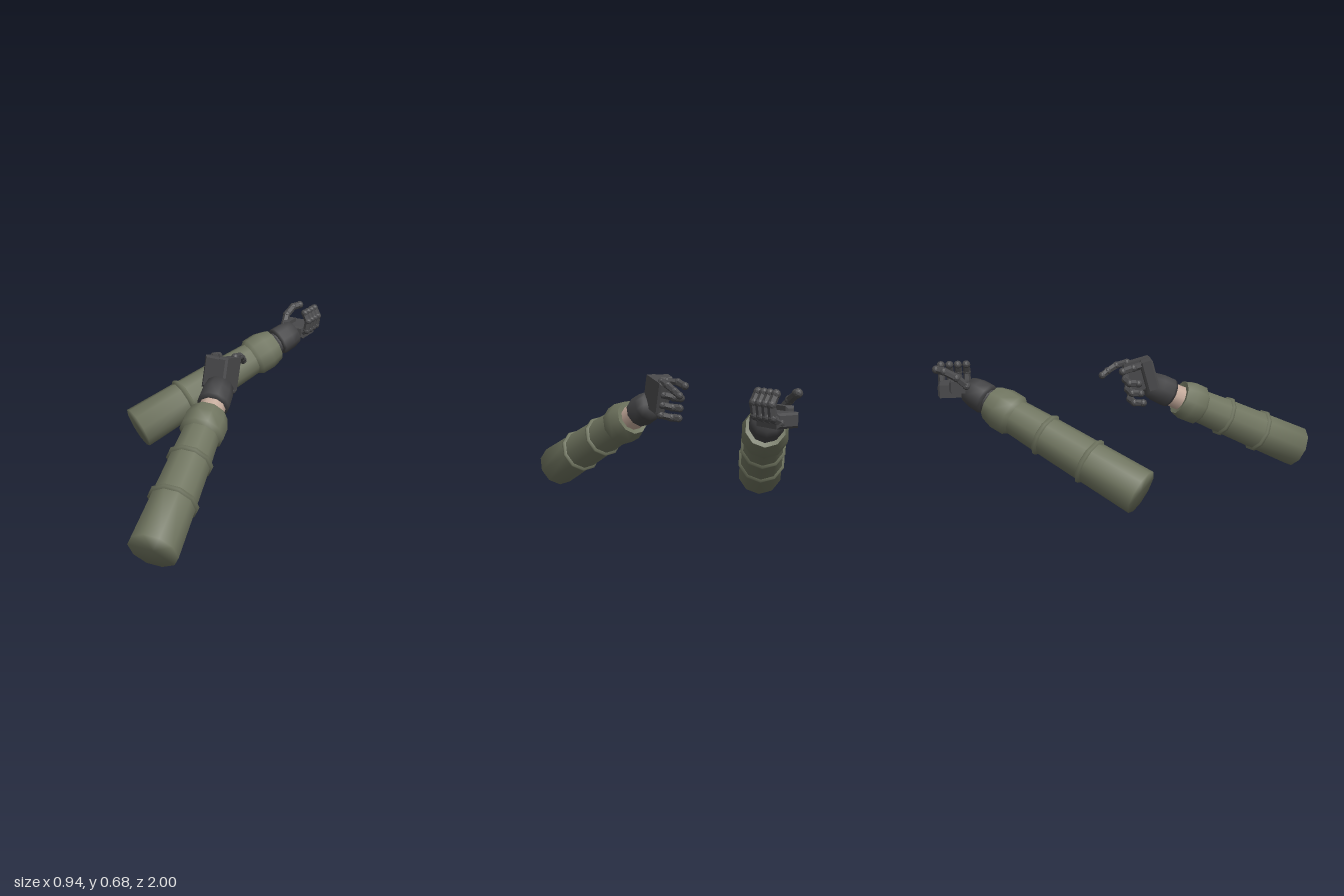
import * as THREE from 'three';

const V = (p) => new THREE.Vector3(...p);
const UP = new THREE.Vector3(0, 1, 0);

export function createModel() {
  const model = new THREE.Group();
  const olive = new THREE.MeshStandardMaterial({ name: 'olive cloth', color: 0x6f745f });
  const glove = new THREE.MeshStandardMaterial({ name: 'dark glove', color: 0x48484a, flatShading: true });
  const strap = new THREE.MeshStandardMaterial({ name: 'dark glove cuff', color: 0x434345 });
  const skin = new THREE.MeshStandardMaterial({ name: 'skin', color: 0xc4aa9b });

  const add = (parent, name, geometry, material) => {
    const mesh = new THREE.Mesh(geometry, material);
    mesh.name = name;
    parent.add(mesh);
    return mesh;
  };

  // Turned part along a line from a to b; profile is [radius, fraction of length]
  const turned = (parent, name, a, b, profile, material, sides = 10) => {
    const d = V(b).sub(V(a));
    const len = d.length();
    const pts = profile.map(([r, t]) => new THREE.Vector2(r, t * len));
    const mesh = add(parent, name, new THREE.LatheGeometry(pts, sides), material);
    mesh.position.set(...a);
    mesh.quaternion.setFromUnitVectors(UP, d.normalize());
    return mesh;
  };

  // Jointed digit through a few points
  const digit = (parent, name, points, r) => {
    const group = new THREE.Group();
    group.name = name;
    parent.add(group);
    points.forEach((p, i) => {
      add(group, 'joint', new THREE.IcosahedronGeometry(r * 1.08, 1), glove).position.set(...p);
      if (i === 0) return;
      const a = V(points[i - 1]), d = V(p).sub(a);
      const bone = add(group, 'segment', new THREE.CylinderGeometry(r * 0.94, r, d.length(), 6), glove);
      bone.position.copy(a).addScaledVector(d, 0.5);
      bone.quaternion.setFromUnitVectors(UP, d.normalize());
    });
  };

  // Box with chamfered edges, centred on its own origin
  const block = (w, h, d, c = 0.01) => {
    const x = w / 2 - c, y = h / 2 - c;
    const s = new THREE.Shape([[-x, -y], [x, -y], [x, y], [-x, y]].map((p) => new THREE.Vector2(...p)));
    return new THREE.ExtrudeGeometry(s, {
      depth: d - 2 * c, bevelEnabled: true, bevelSize: c, bevelThickness: c, bevelSegments: 1,
    }).translate(0, 0, c - d / 2);
  };

  // Sleeve in tapering sections with two seam rings and a thick cuff
  const sleeve = (parent, a, b) => {
    turned(parent, 'upperSleeve', a, b, [[0, 0], [0.114, 0], [0.106, 0.33]], olive);
    turned(parent, 'middleSleeve', a, b, [[0.106, 0.33], [0.098, 0.63]], olive);
    turned(parent, 'lowerSleeve', a, b, [[0.098, 0.63], [0.088, 0.88]], olive);
    [[0.106, 0.335], [0.098, 0.63]].forEach(([r, t]) => turned(parent, 'seamRing', a, b,
      [[r - 0.004, t - 0.018], [r + 0.012, t - 0.008], [r + 0.012, t + 0.008], [r - 0.006, t + 0.018]], olive));
    turned(parent, 'sleeveCuff', a, b,
      [[0.085, 0.82], [0.107, 0.85], [0.108, 0.93], [0.091, 1]], olive);
    turned(parent, 'cuffOpening', a, b, [[0.091, 1], [0.05, 0.99]], olive);
  };

  // Glove gauntlet with a raised hem
  const gauntlet = (parent, a, b) => {
    turned(parent, 'gloveCuff', a, b,
      [[0.05, 0], [0.074, 0], [0.079, 0.12], [0.077, 0.6], [0.066, 1], [0, 1.12]], strap);
  };

  // Left arm: upright grip with the index finger pointing
  const left = new THREE.Group();
  left.name = 'leftArm';
  model.add(left);
  sleeve(left, [0.35, 0.112, 0.948], [0.22, 0.452, 0.26]);
  turned(left, 'wrist', [0.224, 0.44, 0.28], [0.205, 0.49, 0.18], [[0.066, 0], [0.062, 1]], skin);
  gauntlet(left, [0.211, 0.478, 0.21], [0.186, 0.54, 0.095]);
  const leftHand = new THREE.Group();
  leftHand.name = 'leftPalm';
  leftHand.position.set(0, 0.588, 0.045);
  leftHand.rotation.x = -0.26;
  left.add(leftHand);
  add(leftHand, 'handBack', block(0.05, 0.16, 0.155), glove).position.set(0.202, 0, 0);
  add(leftHand, 'handHeel', block(0.115, 0.155, 0.065), glove).position.set(0.162, 0, 0.045);
  digit(left, 'indexFinger', [[0.203, 0.653, -0.02], [0.2, 0.64, -0.075], [0.188, 0.615, -0.12], [0.178, 0.594, -0.15]], 0.018);
  for (let i = 0; i < 3; i++) {
    const y = 0.575 - i * 0.051, z = i * 0.012;
    digit(left, 'curledFinger', [[0.2, y + 0.015, -0.025 + z], [0.145, y, -0.035 + z],
      [0.095, y - 0.008, -0.02 + z], [0.09, y - 0.01, 0.025 + z]], 0.019);
  }
  digit(left, 'leftThumb', [[0.135, 0.65, 0.05], [0.1, 0.645, 0], [0.092, 0.63, -0.055]], 0.019);

  // Right arm: open palm up with fingers curling
  const right = new THREE.Group();
  right.name = 'rightArm';
  model.add(right);
  sleeve(right, [-0.378, 0.152, -0.028], [0.07, 0.497, -0.712]);
  turned(right, 'wristBand', [0.055, 0.485, -0.69], [0.11, 0.53, -0.775], [[0.062, 0], [0.062, 1]], strap);
  turned(right, 'wristHem', [0.066, 0.494, -0.706], [0.079, 0.505, -0.727], [[0.06, 0], [0.071, 0.3], [0.071, 0.7], [0.06, 1]], strap);
  gauntlet(right, [0.081, 0.508, -0.732], [0.138, 0.555, -0.825]);
  add(right, 'rightPalm', block(0.11, 0.065, 0.16), glove).position.set(0.143, 0.557, -0.897);
  add(right, 'thumbBase', block(0.045, 0.06, 0.1), glove).position.set(0.09, 0.58, -0.87);
  for (let i = 0; i < 4; i++) {
    const z = -0.836 - i * 0.042;
    digit(right, 'curledFinger', [[0.175, 0.55, z], [0.212, 0.57, z], [0.22, 0.625, z], [0.198, 0.668, z]], 0.019);
  }
  digit(right, 'rightThumb', [[0.078, 0.585, -0.835], [0.068, 0.63, -0.88], [0.078, 0.662, -0.94], [0.1, 0.668, -0.978]], 0.02);

  return model;
}
